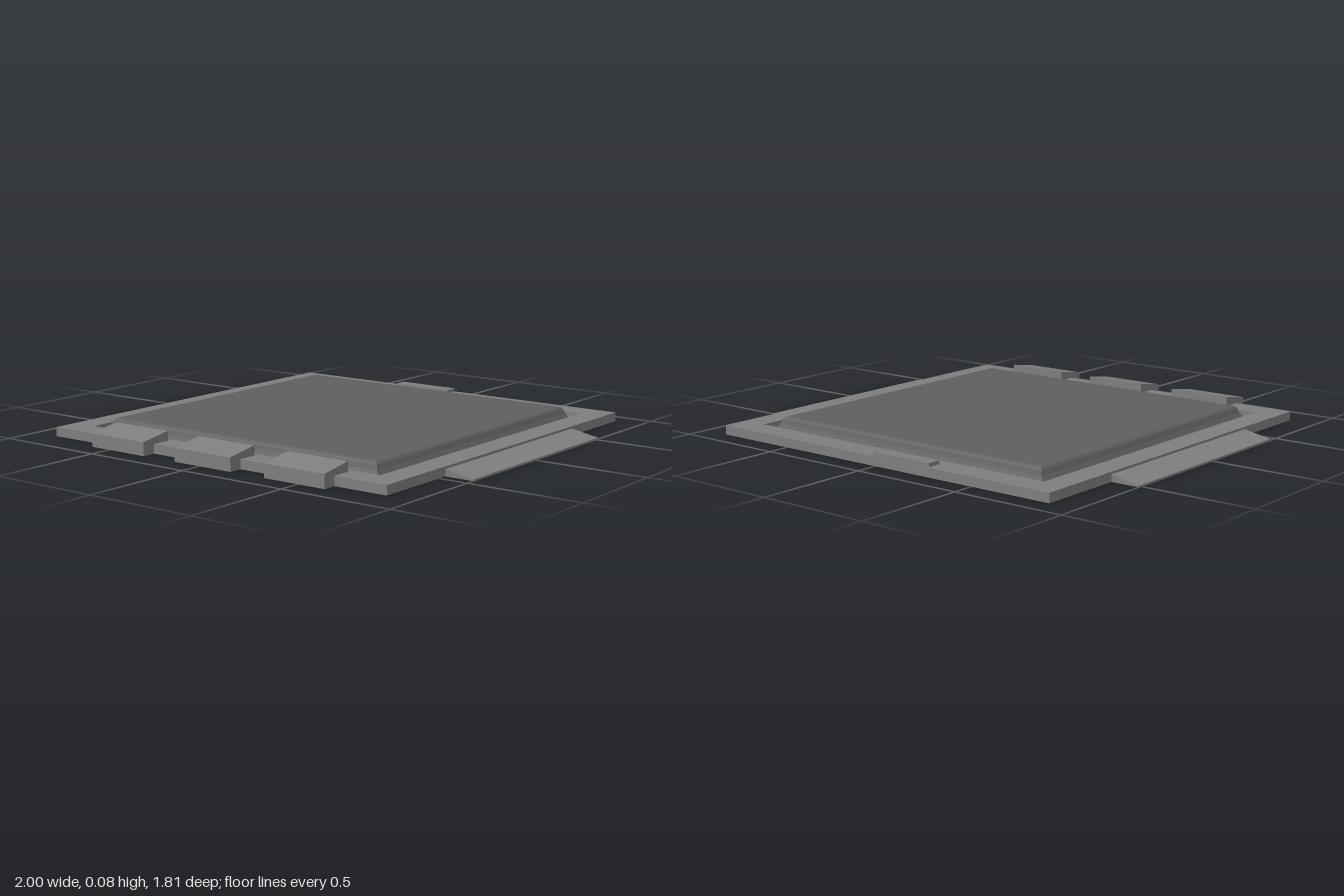
import * as THREE from 'three';

const makeMaterial = (color) => new THREE.MeshStandardMaterial({
  color, flatShading: true, side: THREE.DoubleSide,
});
const frameMaterial = makeMaterial(0x7f7f7f);
const panelMaterial = makeMaterial(0x606060);

function quadGeometry(quads) {
  const pos = quads.flatMap(([a, b, c, d]) => [...a, ...b, ...c, ...a, ...c, ...d]);
  const geometry = new THREE.BufferGeometry();
  geometry.setAttribute('position', new THREE.Float32BufferAttribute(pos, 3));
  geometry.computeVertexNormals();
  return geometry;
}

// Skin through rectangular rings [x0, x1, z0, z1, yFront, yBack = yFront]; the last ring is capped
function loftRings(rings) {
  const loops = rings.map(([x0, x1, z0, z1, yF, yB = yF]) => [
    [x0, yF, z1], [x1, yF, z1], [x1, yB, z0], [x0, yB, z0],
  ]);
  const quads = [loops[loops.length - 1]];
  for (let r = 0; r + 1 < loops.length; r++) {
    for (let i = 0; i < 4; i++) {
      const j = (i + 1) % 4;
      quads.push([loops[r][i], loops[r][j], loops[r + 1][j], loops[r + 1][i]]);
    }
  }
  return quadGeometry(quads);
}

// Upright wall along a path of [x, z] points
function wall(path, y0, y1) {
  return quadGeometry(path.slice(1).map(([xb, zb], i) => {
    const [xa, za] = path[i];
    return [[xa, y0, za], [xb, y0, zb], [xb, y1, zb], [xa, y1, za]];
  }));
}

export function createModel() {
  const model = new THREE.Group();
  model.name = 'framedPanel';
  const add = (name, geometry, material = frameMaterial) => {
    const mesh = new THREE.Mesh(geometry, material);
    mesh.name = name;
    model.add(mesh);
    return mesh;
  };

  // Flat rim stepping down into a recess with a thin floor
  const X = 0.873, BACK = -0.905, FRONT = 0.843;
  const inner = [-0.76, 0.76, -0.79, 0.73];
  add('rim', loftRings([
    [-X, X, BACK, FRONT, 0.04], [...inner, 0.04], [...inner, 0.005],
  ]));

  // Three hollow sloped blocks overhanging the front edge, open below
  const blocks = [-0.595, -0.13, 0.335].map((x) => [x, x + 0.295]);
  for (const [x0, x1] of blocks) {
    const plan = [x0, x1, 0.757, 0.903];
    add('frontBlock', loftRings([[...plan, 0], [...plan, 0.058, 0.082]]));
  }

  // Skirt below the rim, interrupted where the blocks pass through
  add('skirt', wall([
    [blocks[2][1], FRONT], [X, FRONT], [X, BACK], [-X, BACK], [-X, FRONT], [blocks[0][0], FRONT],
  ], 0, 0.04));
  for (let i = 0; i < 2; i++) {
    add('frontSkirt', wall([[blocks[i][1], FRONT], [blocks[i + 1][0], FRONT]], 0, 0.04));
  }

  // Raised panel with bevelled edges, set inside the recess
  const panelRing = (half, y) => [-half, half, -0.03 - half, -0.03 + half, y];
  add('panel', loftRings([
    panelRing(0.732, 0.005), panelRing(0.71, 0.042), panelRing(0.702, 0.062),
    panelRing(0.695, 0.07), panelRing(0.685, 0.074),
  ]), panelMaterial);

  // Tapered side flanges
  for (const s of [-1, 1]) {
    const profile = new THREE.Shape([
      [X, 0], [1, 0], [1, 0.006], [X, 0.03],
    ].map(([x, y]) => new THREE.Vector2(s * x, y)));
    const flange = add(s > 0 ? 'leftFlange' : 'rightFlange',
      new THREE.ExtrudeGeometry(profile, { depth: 0.973, bevelEnabled: false }));
    flange.position.z = -0.516;
  }

  // Small tab on the back rim
  const tab = [-0.283, 0.014, -0.9, -0.84];
  add('backTab', loftRings([[...tab, 0.04], [...tab, 0.056]]));

  return model;
}
